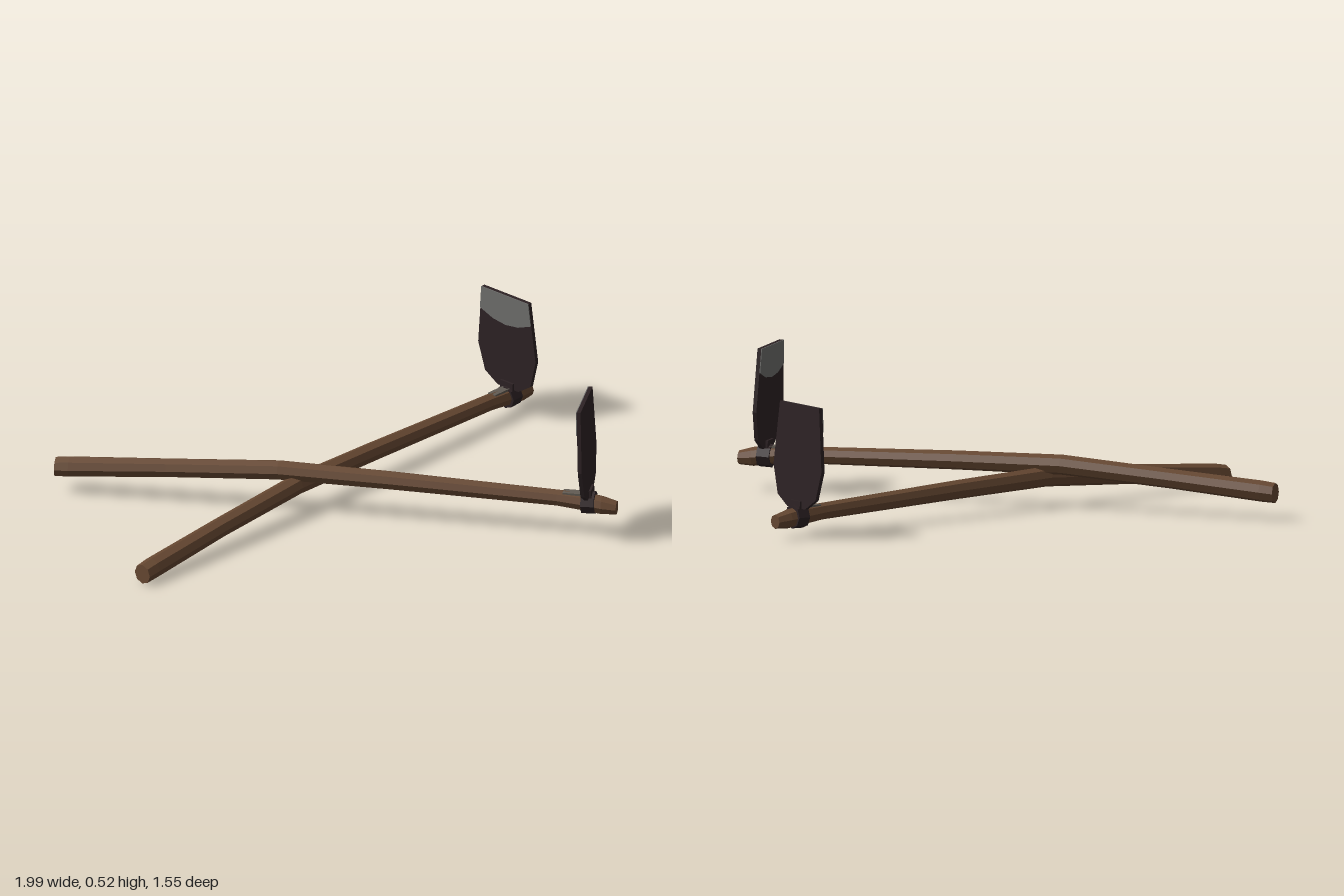
import * as THREE from 'three';

const mat = (name, color, extra = {}) => {
  const m = new THREE.MeshStandardMaterial({ color, flatShading: true, ...extra });
  m.name = name;
  return m;
};

const HEAD = 1.913; // distance of the iron head along the handle

export function createModel() {
  const wood = mat('brown wood', 0x654731);
  const iron = mat('dark iron', 0x2d2224);
  const steel = mat('sharpened steel', 0x6f6f6d);
  const wedgeMat = mat('worn grey wedge', 0x625c54);

  const add = (group, name, geometry, material) => {
    const mesh = new THREE.Mesh(geometry, material);
    mesh.name = name;
    group.add(mesh);
    return mesh;
  };

  // Bent eight-sided pole running along +x; stations are [distance, height, radius]
  const pole = (stations) => {
    const n = stations.length - 1;
    const geo = new THREE.CylinderGeometry(1, 1, n, 8, n);
    const p = geo.attributes.position;
    for (let i = 0; i < p.count; i++) {
      const [s, y, r] = stations[Math.round(p.getY(i) + n / 2)];
      p.setXYZ(i, s, y - p.getX(i) * r, p.getZ(i) * r);
    }
    geo.computeVertexNormals();
    return geo;
  };

  // Flat plate standing across the handle, centred on x = 0
  const plate = (points, depth) => {
    const shape = new THREE.Shape(points.map(([x, y]) => new THREE.Vector2(x, y)));
    return new THREE.ExtrudeGeometry(shape, { depth, bevelEnabled: false })
      .translate(0, 0, -depth / 2)
      .rotateY(Math.PI / 2);
  };
  const mirrored = (half) => [...half, ...half.map(([x, y]) => [-x, y]).reverse()];

  const hoe = (name, start, angle, heights) => {
    const group = new THREE.Group();
    group.name = name;
    group.position.set(start[0], 0, start[1]);
    group.rotation.y = angle;

    // Handle, slightly thicker at the grip end and through the head
    const along = [0, 0.05, 0.4, 0.8, 1.2, 1.8, HEAD, 1.96, 2.013];
    const radii = [0.036, 0.038, 0.035, 0.036, 0.034, 0.03, 0.034, 0.034, 0.025];
    add(group, 'handle', pole(along.map((s, i) => [s, heights[i], radii[i]])), wood);

    // Iron head: collar, neck, blade and ground cutting edge
    const head = new THREE.Group();
    head.name = 'head';
    head.position.set(HEAD, heights[6], 0);
    head.rotation.z = 0.04;
    group.add(head);
    add(head, 'collar', new THREE.CylinderGeometry(0.042, 0.042, 0.048, 8).rotateZ(Math.PI / 2), iron);
    add(head, 'neck', new THREE.BoxGeometry(0.03, 0.03, 0.06), iron).position.y = 0.042;
    add(head, 'blade', plate(mirrored([
      [0.05, 0.03], [0.108, 0.068], [0.137, 0.172], [0.112, 0.397],
    ]), 0.014), iron);
    add(head, 'cuttingEdge', plate(mirrored([
      [0, 0.28], [0.06, 0.288], [0.121, 0.312], [0.112, 0.397],
    ]).filter((q, i) => i !== 7), 0.003), steel).position.x = -0.0085;

    // Thin wedge on top of the handle behind the collar
    const wedge = add(group, 'wedge', new THREE.BoxGeometry(0.075, 0.008, 0.034), wedgeMat);
    wedge.position.set(HEAD - 0.055, heights[6] + 0.032, 0);
    return group;
  };

  const model = new THREE.Group();
  model.name = 'crossedHoes';
  model.add(
    hoe('lowerHoe', [-0.99, 0.037], 0.172,
      [0.038, 0.045, 0.08, 0.11, 0.102, 0.084, 0.076, 0.071, 0.066]),
    hoe('upperHoe', [-0.765, -0.755], -0.847,
      [0.1, 0.104, 0.13, 0.157, 0.152, 0.138, 0.13, 0.123, 0.117]),
  );
  return model;
}
